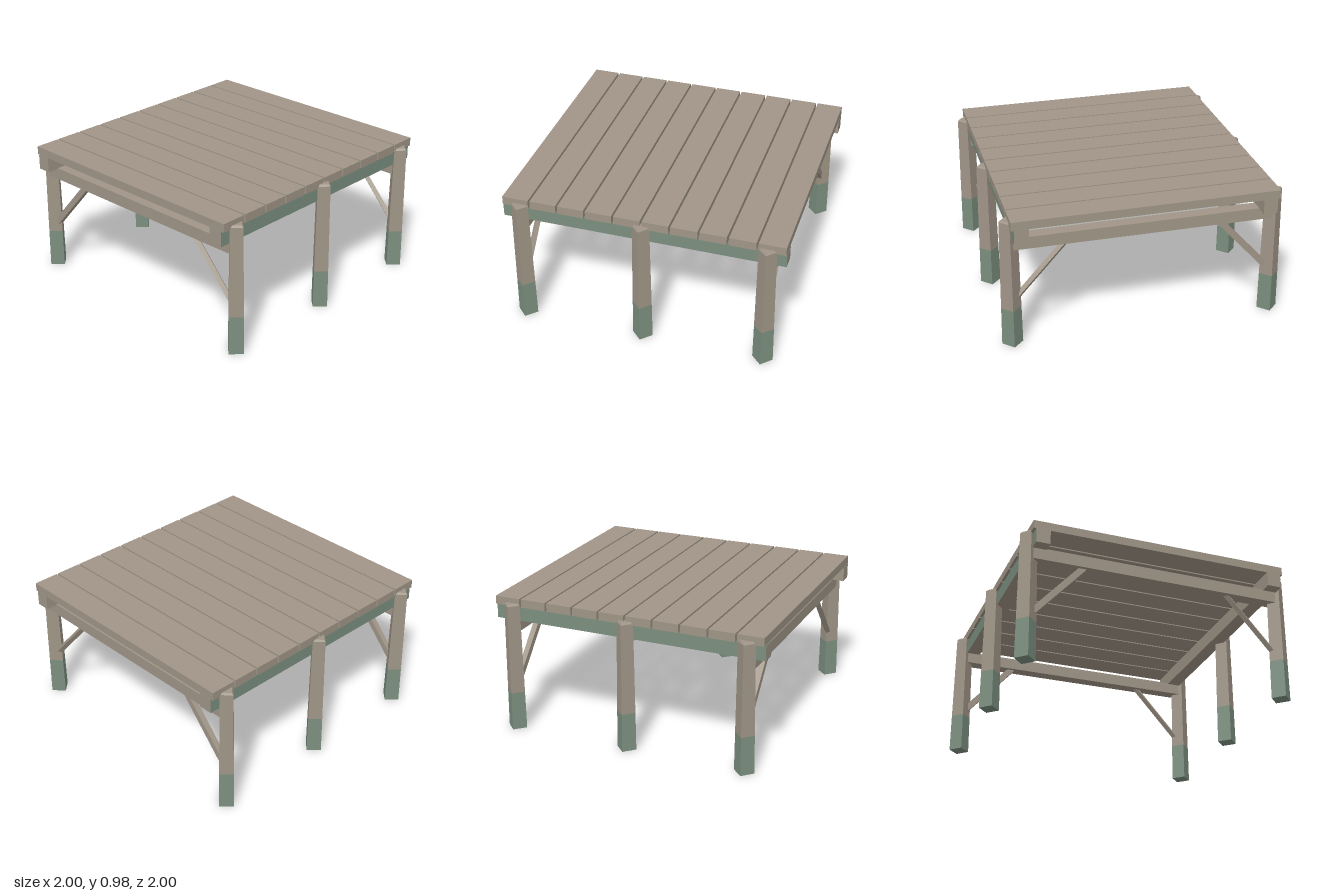
import * as THREE from 'three';

export function createModel() {
  const model = new THREE.Group();
  model.name = 'woodenPlatform';
  const wood = new THREE.MeshStandardMaterial({ color: 0xa09587 });
  wood.name = 'weatheredWood';
  const moss = new THREE.MeshStandardMaterial({ color: 0x7b8f7f });
  moss.name = 'mossyGreen';

  const add = (name, geometry, material, x, y, z, parent = model) => {
    const mesh = new THREE.Mesh(geometry, material);
    mesh.name = name;
    mesh.position.set(x, y, z);
    parent.add(mesh);
    return mesh;
  };

  // Deck planks with narrow gaps
  const plank = new THREE.BoxGeometry(1.858, 0.06, 0.187);
  for (let i = 0; i < 10; i++) {
    add('deckPlank', plank, wood, 0, 0.951, -0.904 + i * 0.2005);
  }

  // Four-sided tapered section with its corners on the x and z axes
  const section = (rTop, rBottom, y0, y1, open) => {
    const g = new THREE.CylinderGeometry(rTop, rBottom, y1 - y0, 4, 1, open).toNonIndexed();
    g.computeVertexNormals();
    return g.translate(0, (y0 + y1) / 2, 0);
  };
  const foot = section(0.07, 0.073, 0, 0.28, false);
  const shaft = section(0.062, 0.07, 0.28, 0.932, true);
  const cap = section(0.05, 0.062, 0.932, 0.945, false);

  for (const side of [-1, 1]) {
    // Posts: mossy foot, plain shaft, chamfered top
    for (const z of [-0.873, 0, 0.873]) {
      const post = new THREE.Group();
      post.name = 'post';
      post.position.set(side * 0.925, 0, z);
      model.add(post);
      add('postFoot', foot, moss, 0, 0, 0, post);
      add('postShaft', shaft, wood, 0, 0, 0, post);
      add('postTop', cap, wood, 0, 0, 0, post);
    }

    // Side beams: green on the outer face and the top
    const faces = [side > 0 ? moss : wood, side < 0 ? moss : wood, moss, wood, wood, wood];
    add('sideBeam', new THREE.BoxGeometry(0.1, 0.107, 2), faces, side * 0.86, 0.868, 0);
  }

  for (const z of [-0.873, 0.873]) {
    // Cross beams between the end posts
    add('crossBeam', new THREE.BoxGeometry(1.806, 0.086, 0.09), wood, 0, 0.778, z);

    // Diagonal braces; the ones on the left are turned on edge
    for (const side of [-1, 1]) {
      const low = new THREE.Vector3(side * 0.885, 0.355, z);
      const high = new THREE.Vector3(side * 0.528, 0.753, z);
      const width = side > 0 ? 0.032 : 0.044;
      const geometry = new THREE.BoxGeometry(width, low.distanceTo(high), side > 0 ? 0.032 : 0.04);
      if (side > 0) geometry.rotateY(Math.PI / 4);
      const mid = low.clone().add(high).multiplyScalar(0.5);
      const brace = add('brace', geometry, wood, mid.x, mid.y, mid.z);
      brace.rotation.z = Math.atan2(low.x - high.x, high.y - low.y);
    }
  }
  return model;
}
